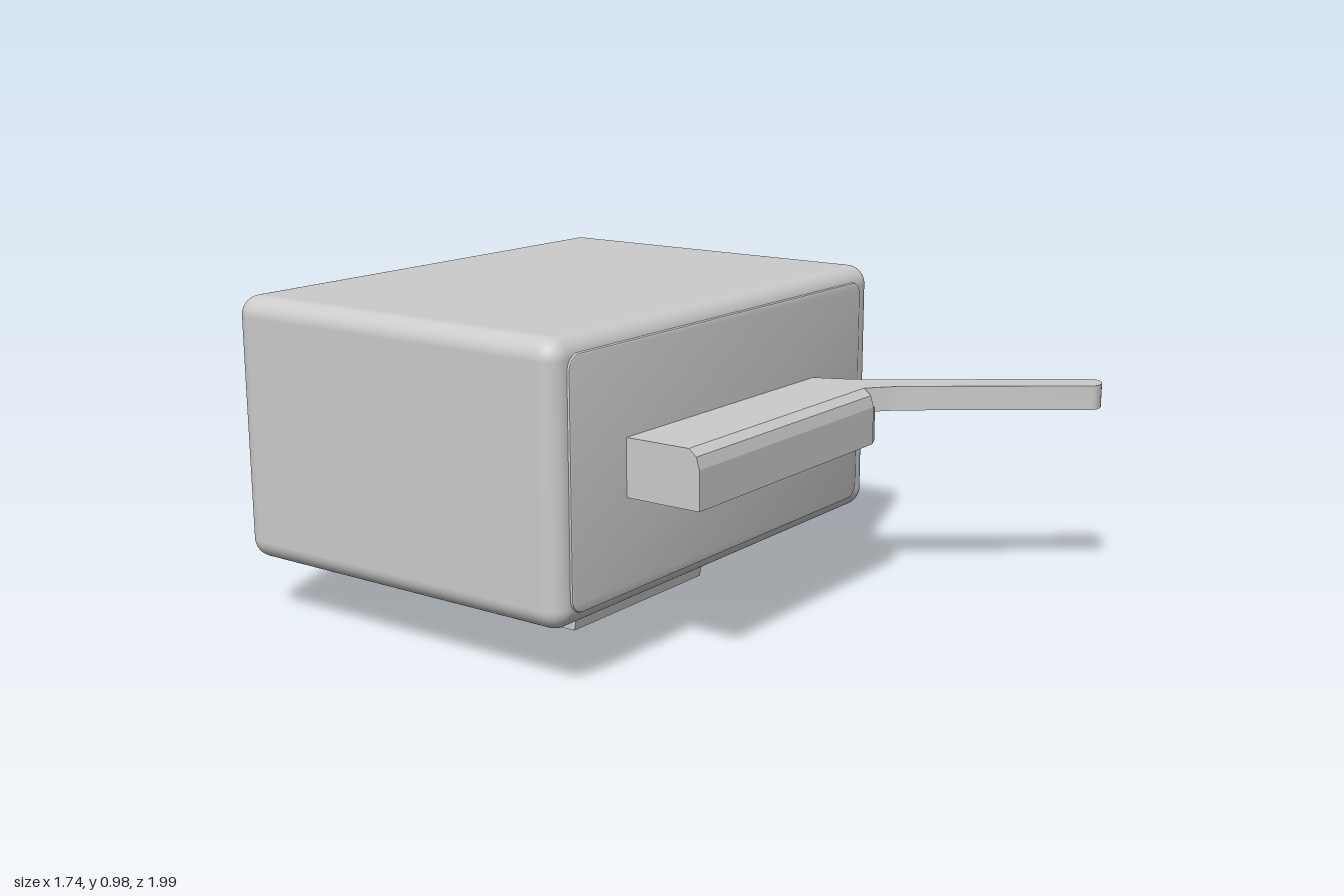
import * as THREE from 'three';
import { RoundedBoxGeometry } from 'three/addons/geometries/RoundedBoxGeometry.js';
import { toCreasedNormals } from 'three/addons/utils/BufferGeometryUtils.js';

const material = new THREE.MeshStandardMaterial({ color: 0xcccccc });

export function createModel() {
  const model = new THREE.Group();
  const add = (name, geometry, x = 0, y = 0, z = 0) => {
    const mesh = new THREE.Mesh(geometry, material);
    mesh.name = name;
    mesh.position.set(x, y, z);
    model.add(mesh);
    return mesh;
  };
  const shapeOf = (points) => new THREE.Shape(points.map(([a, b]) => new THREE.Vector2(a, b)));

  // Outline in plan [x, z], raised from y0 to y1
  const planSlab = (shape, y0, y1) => {
    const g = new THREE.ExtrudeGeometry(shape, { depth: y1 - y0, bevelEnabled: false });
    g.rotateX(-Math.PI / 2).translate(0, y0, 0);
    return toCreasedNormals(g, 0.6);
  };
  const plan = (points) => shapeOf(points.map(([x, z]) => [x, -z]));

  // Side profile [z, y], swept along x from x0 to x1
  const sideProfile = (points, x0, x1) => {
    const g = new THREE.ExtrudeGeometry(shapeOf(points.map(([z, y]) => [-z, y])),
      { depth: x1 - x0, bevelEnabled: false });
    return g.rotateY(Math.PI / 2).translate(x0, 0, 0);
  };

  const roundedRect = (x0, y0, x1, y1, r) => {
    const s = new THREE.Shape();
    s.absarc(x1 - r, y1 - r, r, 0, Math.PI / 2);
    s.absarc(x0 + r, y1 - r, r, Math.PI / 2, Math.PI);
    s.absarc(x0 + r, y0 + r, r, Math.PI, Math.PI * 1.5);
    s.absarc(x1 - r, y0 + r, r, Math.PI * 1.5, Math.PI * 2);
    s.closePath();
    return s;
  };

  // Main housing, standing clear of the floor
  add('housing', new RoundedBoxGeometry(1.61, 0.8, 1.215, 6, 0.06), -0.065, 0.58, -0.3925);

  // Slightly raised front panel
  const panel = new THREE.ExtrudeGeometry(roundedRect(-0.81, 0.23, 0.655, 0.93, 0.04), {
    depth: 0.02, bevelThickness: 0.006, bevelSize: 0.006, bevelSegments: 2, curveSegments: 8,
  });
  add('frontPanel', toCreasedNormals(panel, 0.6), 0, 0, 0.196);

  // Horizontal bar with a chamfered upper edge
  add('frontBar', sideProfile([
    [0.2, 0.5], [0.2, 0.67], [0.43, 0.67], [0.455, 0.65], [0.465, 0.615], [0.465, 0.5],
  ], -0.575, 0.34));

  // Hub at the end of the bar, under the lever
  add('leverHub', planSlab(plan([
    [0.33, 0.465], [0.375, 0.45], [0.425, 0.39], [0.44, 0.33], [0.43, 0.2], [0.33, 0.2],
  ]), 0.5, 0.61));

  // Lever reaching forward and outward, with a rounded tip
  const lever = new THREE.Shape();
  lever.moveTo(0.33, -0.2);
  lever.lineTo(0.33, -0.425);
  lever.quadraticCurveTo(0.4, -0.475, 0.44, -0.525);
  lever.lineTo(0.775, -0.98);
  lever.bezierCurveTo(0.8, -1.01, 0.87, -0.98, 0.87, -0.94);
  lever.lineTo(0.48, -0.41);
  lever.quadraticCurveTo(0.42, -0.33, 0.375, -0.2);
  add('lever', planSlab(lever, 0.595, 0.67));

  // Underside plate
  add('basePlate', planSlab(roundedRect(-0.68, -0.12, 0.54, 0.83, 0.03), 0.163, 0.2));

  // Lower pad, ramping up toward the back
  add('lowerPad', sideProfile([
    [0.09, 0.18], [0.075, 0.1], [-0.45, 0.1], [-0.61, 0.15], [-0.62, 0.18],
  ], -0.63, -0.02));

  // Shallow neighbouring pad with sloping sides
  const shallow = new THREE.CylinderGeometry(Math.SQRT1_2, Math.SQRT1_2 * 0.88, 0.03, 4, 1);
  shallow.rotateY(Math.PI / 4).scale(0.48, 1, 0.42);
  add('shallowPad', toCreasedNormals(shallow, 0.3), 0.24, 0.162, -0.1);

  // Two round feet with wider collars
  [[0.14, 0.11], [0.4, 0.1]].forEach(([x, r]) => {
    const foot = add('foot', new THREE.CylinderGeometry(r, r, 0.18, 40), x, 0.09, -0.67);
    foot.scale.z = 0.09 / r;
    const collar = add('footCollar', new THREE.CylinderGeometry(r + 0.015, r + 0.01, 0.05, 12), x, 0.155, -0.67);
    collar.scale.z = 0.9;
  });

  return model;
}
